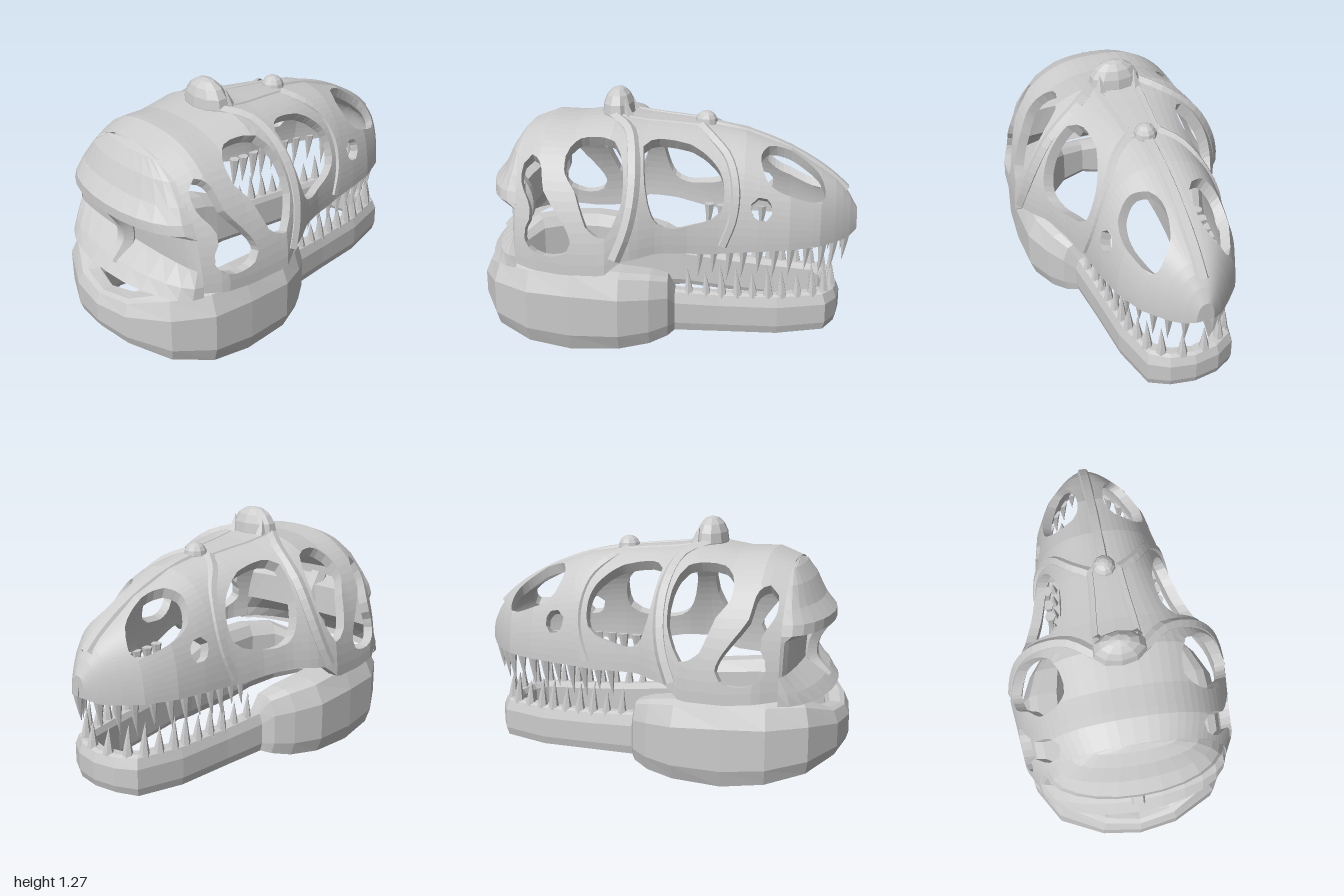
import * as THREE from 'three';

const bone = new THREE.MeshStandardMaterial({ color: 0xcccccc, flatShading: true, side: THREE.DoubleSide });
bone.name = 'bone';

// Piecewise linear lookup in [x, value] pairs sorted by x
function lookup(table, x) {
  if (x <= table[0][0]) return table[0][1];
  for (let i = 1; i < table.length; i++) {
    const [x0, a] = table[i - 1], [x1, b] = table[i];
    if (x <= x1) return a + (b - a) * (x - x0) / (x1 - x0);
  }
  return table[table.length - 1][1];
}

// Skull half width, upper and lower profile along its length
const WIDTH = [[-0.72, 0.5], [-0.62, 0.555], [-0.4, 0.575], [-0.25, 0.59], [-0.12, 0.545], [0, 0.475], [0.15, 0.415], [0.32, 0.37],
  [0.5, 0.345], [0.65, 0.315], [0.8, 0.25], [0.88, 0.18], [0.94, 0.12], [0.98, 0.075], [1, 0.045]];
const TOP = [[-0.72, 1.08], [-0.6, 1.125], [-0.45, 1.12], [-0.25, 1.15], [-0.1, 1.125], [0.17, 1.1], [0.41, 1.06], [0.65, 0.97],
  [0.82, 0.86], [0.9, 0.8], [0.95, 0.74], [1, 0.65]];
const BOTTOM = [[-0.72, 0.455], [-0.47, 0.43], [-0.26, 0.44], [-0.18, 0.51], [0, 0.53], [0.25, 0.5], [0.57, 0.51], [0.95, 0.515], [1, 0.545]];
const BULGE = 0.78;

// Point on the arched skull surface, angle 0 at the lower edge and PI/2 on the midline
function surface(x, angle, offset = 0) {
  const low = lookup(BOTTOM, x), high = lookup(TOP, x) + offset;
  const w = Math.max(lookup(WIDTH, x) + offset, 0.004);
  return new THREE.Vector3(x, low + (high - low) * Math.sin(angle), w * Math.max(Math.cos(angle), 0) ** BULGE);
}
function angleAt(x, y) {
  const low = lookup(BOTTOM, x);
  return Math.asin(THREE.MathUtils.clamp((y - low) / (lookup(TOP, x) - low), 0, 0.993));
}

function fromPoints(points, index) {
  const g = new THREE.BufferGeometry().setFromPoints(points);
  if (index) g.setIndex(index);
  g.computeVertexNormals();
  return g;
}

// Skin between rows of equal length
function loft(rows, closed) {
  const n = rows[0].length, index = [];
  for (let i = 0; i < rows.length - (closed ? 0 : 1); i++)
    for (let j = 0; j < n - (closed ? 0 : 1); j++) {
      const r = (i + 1) % rows.length, s = (j + 1) % n;
      const a = i * n + j, b = r * n + j, c = r * n + s, d = i * n + s;
      index.push(a, b, c, a, c, d);
    }
  return fromPoints(rows.flat(), index);
}

const SCALE = 0.5; // sheet height per radian of arch
const OPENINGS = [
  // rear temporal opening
  [[-0.64, 0.99], [-0.59, 0.95], [-0.57, 0.84], [-0.5, 0.74], [-0.43, 0.63], [-0.44, 0.55], [-0.55, 0.52], [-0.64, 0.56],
    [-0.67, 0.63], [-0.63, 0.71], [-0.65, 0.79], [-0.69, 0.85], [-0.69, 0.94]],
  // eye socket
  [[-0.47, 1.0], [-0.43, 1.05], [-0.36, 1.07], [-0.23, 1.06], [-0.175, 0.95], [-0.175, 0.79], [-0.23, 0.66], [-0.27, 0.63],
    [-0.35, 0.68], [-0.41, 0.84], [-0.47, 0.92]],
  // large opening in front of the eye
  [[-0.09, 1.04], [-0.03, 1.06], [0.14, 1.03], [0.27, 0.94], [0.315, 0.84], [0.3, 0.71], [0.17, 0.66], [0.04, 0.65],
    [-0.03, 0.71], [-0.07, 0.87]],
  // nostril
  [[0.49, 0.965], [0.53, 1.0], [0.61, 0.98], [0.71, 0.925], [0.79, 0.86], [0.825, 0.78], [0.81, 0.735], [0.73, 0.75], [0.6, 0.8], [0.52, 0.87]],
  // small cheek hole
  [[0.45, 0.75], [0.49, 0.785], [0.54, 0.77], [0.56, 0.71], [0.53, 0.665], [0.47, 0.68]],
].map(hole => new THREE.SplineCurve([...hole, hole[0]].map(([x, y]) => new THREE.Vector2(x, angleAt(x, y) * SCALE))).getPoints(hole.length * 2));

// Sheet vertex with its distance d to the nearest opening, negative inside, pulled onto a rim that is close
function sheetVertex(x, y, snap) {
  let best = Infinity, near = null, inside = false;
  for (const hole of OPENINGS)
    for (let i = 1; i < hole.length; i++) {
      const a = hole[i - 1], b = hole[i], ex = b.x - a.x, ey = b.y - a.y;
      const t = THREE.MathUtils.clamp(((x - a.x) * ex + (y - a.y) * ey) / (ex * ex + ey * ey + 1e-12), 0, 1);
      const px = a.x + ex * t, py = a.y + ey * t, d = Math.hypot(x - px, y - py);
      if (d < best) { best = d; near = { x: px, y: py, d: 0 }; }
      if ((a.y > y) !== (b.y > y) && x < a.x + ex * (y - a.y) / ey) inside = !inside;
    }
  return best < snap ? near : { x, y, d: inside ? -best : best };
}

// Half of the skull: a pierced sheet with thickness, wrapped around the arch
function skullSide(side) {
  const nx = 44, ny = 20, thick = 0.055, cell = 1.72 / nx, points = [];
  const grid = Array.from({ length: nx + 1 }, (_, i) => Array.from({ length: ny + 1 }, (_, j) =>
    sheetVertex(-0.72 + 1.72 * i / nx, Math.PI / 2 * SCALE * j / ny, cell * 0.28)));
  const outer = v => surface(v.x, v.y / SCALE), inner = v => surface(v.x, v.y / SCALE, -thick);
  const emit = tri => {
    tri.forEach(v => { v.z *= side; });
    points.push(...(side > 0 ? tri : tri.reverse()));
  };
  const clip = tri => {
    if (tri.every(v => v.d <= 0)) return;
    const poly = [];
    tri.forEach((a, k) => {
      const b = tri[(k + 1) % 3];
      if (a.d >= 0) poly.push(a);
      if (a.d * b.d < 0) {
        const t = a.d / (a.d - b.d);
        poly.push({ x: a.x + (b.x - a.x) * t, y: a.y + (b.y - a.y) * t, d: 0 });
      }
    });
    for (let k = 2; k < poly.length; k++) {
      emit([poly[0], poly[k - 1], poly[k]].map(outer));
      emit([poly[0], poly[k], poly[k - 1]].map(inner));
    }
    // Rim around the openings, the lower edge and the nose tip
    poly.forEach((a, k) => {
      const b = poly[(k + 1) % poly.length];
      if (!((a.d === 0 && b.d === 0) || (a.y === 0 && b.y === 0) || (a.x > 0.999 && b.x > 0.999))) return;
      emit([outer(b), outer(a), inner(a)]);
      emit([outer(b), inner(a), inner(b)]);
    });
  };
  for (let i = 0; i < nx; i++)
    for (let j = 0; j < ny; j++) {
      const a = grid[i][j], b = grid[i + 1][j], c = grid[i + 1][j + 1], d = grid[i][j + 1];
      clip([a, b, c]);
      clip([a, c, d]);
    }
  return fromPoints(points);
}

export function createModel() {
  const model = new THREE.Group();
  const add = (name, geometry) => {
    const mesh = new THREE.Mesh(geometry, bone);
    mesh.name = name;
    model.add(mesh);
    return mesh;
  };
  const tube = (name, points, radius) =>
    add(name, new THREE.TubeGeometry(new THREE.CatmullRomCurve3(points), 16, radius, 6));
  const lump = (name, pos, size) => {
    const m = add(name, new THREE.SphereGeometry(1, 10, 8));
    m.position.set(...pos);
    m.scale.set(...size);
  };

  for (const side of [1, -1]) {
    const tag = side > 0 ? 'left' : 'right';
    add(tag + 'SkullSide', skullSide(side));
    // Raised ridges before and behind the large opening
    const onSide = (x, y) => surface(x, angleAt(x, y), -0.015).multiply(new THREE.Vector3(1, 1, side));
    tube(tag + 'BrowRidge', [[-0.27, 1.15], [-0.17, 1.1], [-0.13, 0.97], [-0.13, 0.8], [-0.16, 0.65], [-0.21, 0.52]].map(q => onSide(...q)), 0.036);
    tube(tag + 'CheekRidge', [[0.18, 1.095], [0.25, 1.05], [0.33, 0.97], [0.37, 0.83], [0.36, 0.68], [0.31, 0.54]].map(q => onSide(...q)), 0.032);
    tube(tag + 'RoofRidge', [-0.25, -0.1, 0.05, 0.18].map(x => onSide(x, 2)), 0.024);
    // Small pointed horn
    const horn = add(tag + 'Horn', new THREE.ConeGeometry(0.05, 0.15, 5));
    horn.position.set(-0.2, 1.15, 0.095 * side);
    horn.rotation.z = 0.2;
  }

  // Midline bones
  tube('nasalRidge', [0.15, 0.35, 0.55, 0.72, 0.85, 0.93].map(x => surface(x, Math.PI / 2, -0.025)), 0.04);
  lump('crest', [-0.26, 1.14, 0], [0.085, 0.13, 0.14]);
  lump('noseBump', [0.2, 1.09, 0], [0.06, 0.062, 0.06]);

  // Back of the skull with an overhanging shelf and a recess, rows of [y, half width, depth]
  const back = [[1.08, 0.03, 0], [1.05, 0.2, 0.03], [0.98, 0.31, 0.08], [0.88, 0.39, 0.13], [0.81, 0.43, 0.19], [0.76, 0.45, 0.19],
    [0.73, 0.46, 0.06], [0.57, 0.49, 0.05], [0.49, 0.5, 0.16], [0.43, 0.5, 0.21], [0.44, 0.43, 0.1]];
  add('skullBack', loft(back.map(([y, w, d]) => Array.from({ length: 13 }, (_, i) => {
    const a = (i / 12 - 0.5) * Math.PI;
    return new THREE.Vector3(-0.72 - d * Math.cos(a), y, w * Math.sin(a));
  }))));
  tube('rearPost', [[-0.86, 0.78], [-0.79, 0.66], [-0.79, 0.56], [-0.87, 0.46]].map(([x, y]) => new THREE.Vector3(x, y, 0)), 0.05);

  // Lower jaw ring: outer x, z, inner x, z, bottom, top
  const half = [
    [0.93, 0, 0.84, 0, 0.05, 0.235], [0.91, 0.13, 0.82, 0.1, 0.05, 0.24], [0.85, 0.23, 0.77, 0.16, 0.04, 0.245],
    [0.6, 0.29, 0.58, 0.205, 0.03, 0.24], [0.3, 0.32, 0.3, 0.235, 0.04, 0.25], [0.07, 0.35, 0.07, 0.26, 0.05, 0.27],
    [0.04, 0.41, 0.03, 0.265, 0.04, 0.35], [-0.05, 0.475, -0.05, 0.28, 0.02, 0.38], [-0.2, 0.54, -0.2, 0.3, 0.01, 0.405],
    [-0.45, 0.545, -0.45, 0.32, 0, 0.43], [-0.67, 0.53, -0.62, 0.31, 0.03, 0.43], [-0.86, 0.42, -0.75, 0.24, 0.07, 0.42],
    [-0.97, 0.2, -0.85, 0.13, 0.11, 0.35], [-1, 0, -0.88, 0, 0.13, 0.33]];
  const ring = [...half, ...half.slice(1, -1).reverse().map(([a, b, c, d, e, f]) => [a, -b, c, -d, e, f])];
  // Cross-section as [inward, upward] fractions
  const section = [[0.12, 0], [0, 0.2], [0, 0.7], [0.2, 0.95], [0.4, 1], [0.85, 1], [1, 0.85], [1, 0.12], [0.9, 0]];
  add('lowerJaw', loft(ring.map(([ox, oz, ix, iz, lo, hi]) => section.map(([u, v]) =>
    new THREE.Vector3(ox + (ix - ox) * u, lo + (hi - lo) * v, oz + (iz - oz) * u))), true));

  // Slightly curved teeth, dir 1 pointing up and -1 pointing down
  function tooth(name, x, y, z, length, dir) {
    const g = new THREE.ConeGeometry(0.03, length, 6, 3);
    g.translate(0, length / 2, 0);
    const p = g.attributes.position;
    for (let i = 0; i < p.count; i++) p.setX(i, p.getX(i) - 0.4 * p.getY(i) ** 2);
    if (dir < 0) g.rotateX(Math.PI);
    g.computeVertexNormals();
    add(name, g).position.set(x, y, z);
  }
  const jawLine = [[0.1, 0.305], [0.3, 0.28], [0.6, 0.25], [0.8, 0.2], [0.86, 0.13], [0.885, 0.04]];
  for (const side of [1, -1]) {
    [0.2, 0.27, 0.35, 0.42, 0.5, 0.58, 0.66, 0.74, 0.82, 0.88, 0.94].forEach((x, i) =>
      tooth('upperTooth', x, lookup(BOTTOM, x) + 0.03, side * Math.min(0.305, lookup(WIDTH, x) - 0.045), [0.2, 0.17, 0.21][i % 3], -1));
    [0.14, 0.23, 0.31, 0.39, 0.47, 0.55, 0.62, 0.7, 0.78, 0.84, 0.88].forEach((x, i) =>
      tooth('lowerTooth', x, 0.225, side * lookup(jawLine, x), [0.17, 0.14, 0.18][i % 3], 1));
  }
  return model;
}
